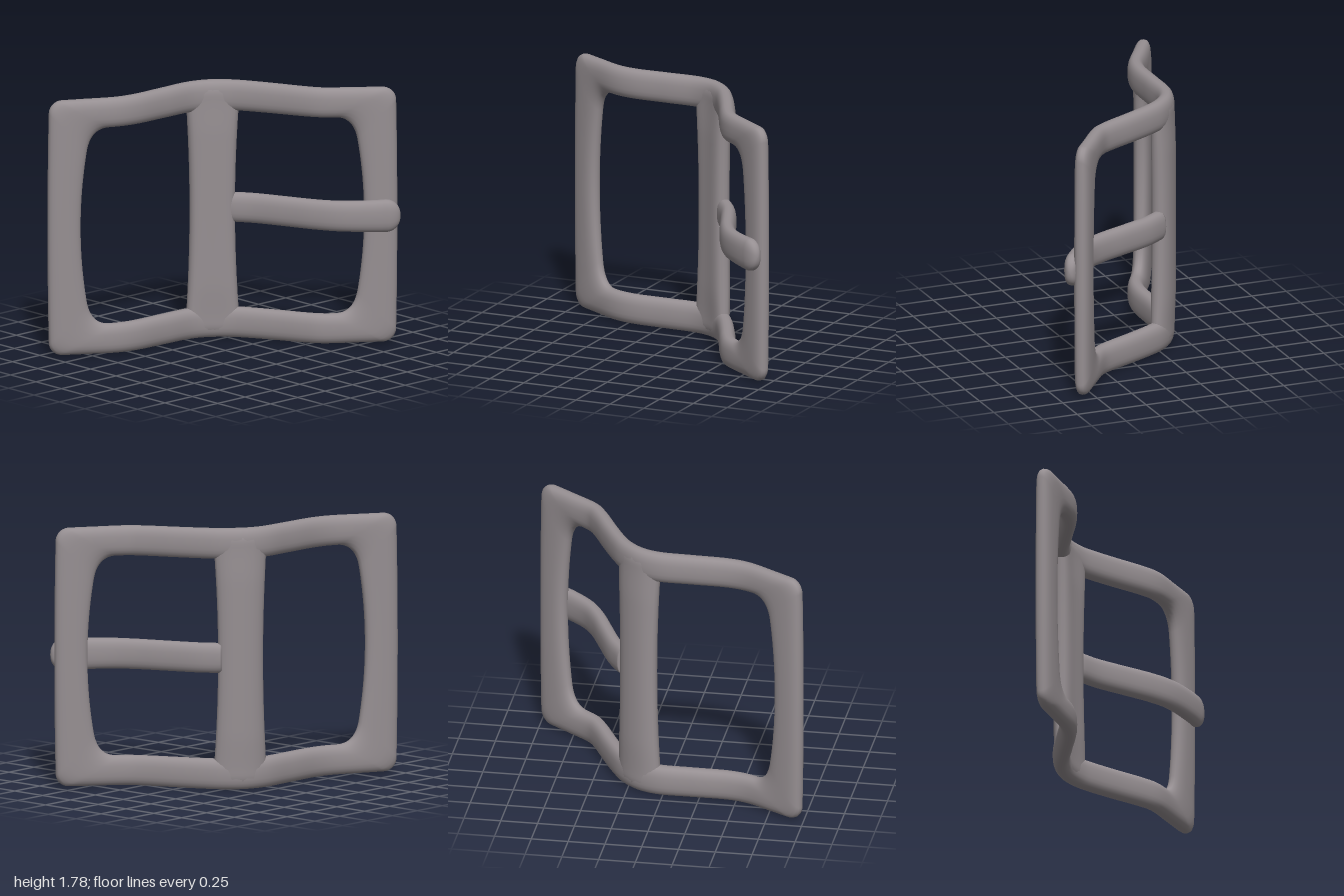
import * as THREE from 'three';

const material = new THREE.MeshStandardMaterial({ color: 0x968f92 });
const SIDES = 24;
const path = (pts) => new THREE.CatmullRomCurve3(pts.map(([x, z]) => new THREE.Vector3(x, 0, z)));

// Plan-view bends of the frame and of the tongue
const framePath = path([[-0.682, 0.992], [-0.555, 0.78], [-0.444, 0.585], [-0.41, 0.45], [-0.402, 0.2], [-0.392, -0.04],
  [-0.342, -0.17], [-0.243, -0.278], [-0.145, -0.342], [0.03, -0.435], [0.22, -0.53], [0.315, -0.592], [0.46, -0.775], [0.624, -0.993]]);
const tonguePath = path([[-0.255, -0.285], [-0.12, -0.375], [0.1, -0.475], [0.28, -0.555], [0.42, -0.64], [0.56, -0.785], [0.685, -0.965]]);

// Flat coordinates (distance along path, height, offset to the face side) to space
function bend(curve, s, y, n) {
  const u = THREE.MathUtils.clamp(s / curve.getLength(), 0, 1);
  const p = curve.getPointAt(u), t = curve.getTangentAt(u);
  return new THREE.Vector3(p.x - t.z * n, y, p.z + t.x * n);
}

// Rounded, slightly boxy section
const round = (v) => Math.sign(v) * Math.abs(v) ** 0.8;
function section(fn) {
  return Array.from({ length: SIDES }, (_, j) => {
    const a = (j / SIDES) * Math.PI * 2;
    return fn(round(Math.cos(a)), round(Math.sin(a)));
  });
}

// Skin a row of sections
function loft(name, rings, closed) {
  const pos = rings.flat().flatMap((p) => p.toArray()), index = [];
  const count = closed ? rings.length : rings.length - 1;
  for (let i = 0; i < count; i++) {
    for (let j = 0; j < SIDES; j++) {
      const i2 = (i + 1) % rings.length, j2 = (j + 1) % SIDES;
      const a = i * SIDES + j, b = i * SIDES + j2, c = i2 * SIDES + j2, d = i2 * SIDES + j;
      index.push(a, b, d, b, c, d);
    }
  }
  const g = new THREE.BufferGeometry();
  g.setAttribute('position', new THREE.Float32BufferAttribute(pos, 3));
  g.setIndex(index);
  g.computeVertexNormals();
  const mesh = new THREE.Mesh(g, material);
  mesh.name = name;
  return mesh;
}

// Outer frame: a hoop between an outer and an inner rounded rectangle, mirrored from one quarter
function makeFrame() {
  const L = framePath.getLength(), a = L / 2, b = 0.89, r = 0.09;
  const ai = a - 0.225, bi = 0.68;
  const quarter = [];
  for (let k = 0; k < 10; k++) {
    const t = k / 10;
    quarter.push([a - 0.008 * t * t, t * (b - r), ai - 0.045 * t * t, t * (bi - 0.15)]);
  }
  for (let k = 0; k < 10; k++) {
    const t = k / 10, w = (t * Math.PI) / 2;
    const corner = new THREE.QuadraticBezierCurve(new THREE.Vector2(ai - 0.045, bi - 0.15),
      new THREE.Vector2(ai - 0.075, bi), new THREE.Vector2(ai - 0.2, bi)).getPoint(t);
    quarter.push([a - 0.008 - r + r * Math.cos(w), b - 0.01 - r + r * Math.sin(w), corner.x, corner.y]);
  }
  for (let k = 0; k <= 30; k++) {
    const t = k / 30;
    quarter.push([(a - 0.008 - r) * (1 - t), b - 0.01 * (1 - t), (ai - 0.2) * (1 - t), bi]);
  }
  const stations = [];
  [[1, 1], [-1, 1], [-1, -1], [1, -1]].forEach(([sx, sy], q) => {
    const list = q % 2 ? [...quarter].reverse() : quarter;
    list.slice(0, -1).forEach(([x, y, xi, yi]) => stations.push([x * sx, y * sy, xi * sx, yi * sy]));
  });
  const rings = stations.map(([x, y, xi, yi]) => section((c, s) => bend(framePath,
    a + (x + xi) / 2 + (c * (x - xi)) / 2, 0.89 + (y + yi) / 2 + (c * (y - yi)) / 2, -s * 0.057)));
  return loft('frame', rings, true);
}

// Middle bar: flares a little and thins out over the frame's rounded edges
function makeBar() {
  const rings = [];
  for (let k = 0; k <= 60; k++) {
    const y = -0.885 * Math.cos((k / 60) * Math.PI), h = Math.abs(y);
    const half = 0.154 + 0.025 * (h / 0.7) ** 2;
    const over = Math.max(0, h - 0.785) / 0.1;
    const thick = (0.068 - 0.008 * THREE.MathUtils.smoothstep(h, 0.5, 0.785)) * Math.sqrt(Math.max(0, 1 - over * over));
    rings.push(section((c, s) => bend(framePath, 1.262 + s * half, 0.89 + y, c * thick)));
  }
  return loft('middleBar', rings, false);
}

// Tongue: flat root against the bar, rounded tip over the end bar
function makeTongue() {
  const L = tonguePath.getLength(), rings = [];
  const ring = (s, k, wide) => rings.push(section((c, n) => bend(tonguePath, s, 0.897 + c * wide * k, n * 0.054 * k)));
  ring(0, 0, 0.1);
  ring(0, 0.93, 0.1);
  ring(0.012, 1, 0.1);
  for (let k = 1; k <= 30; k++) {
    const t = k / 30;
    ring(0.012 + (L - 0.112) * t, 1, 0.102 + 0.01 * t ** 4);
  }
  for (let k = 1; k <= 12; k++) {
    const w = (k / 12) * Math.PI / 2;
    ring(L - 0.1 + 0.1 * Math.sin(w), Math.cos(w) ** 0.9, 0.112);
  }
  return loft('tongue', rings, false);
}

export function createModel() {
  const group = new THREE.Group();
  group.name = 'buckle';
  group.add(makeFrame(), makeBar(), makeTongue());
  return group;
}
